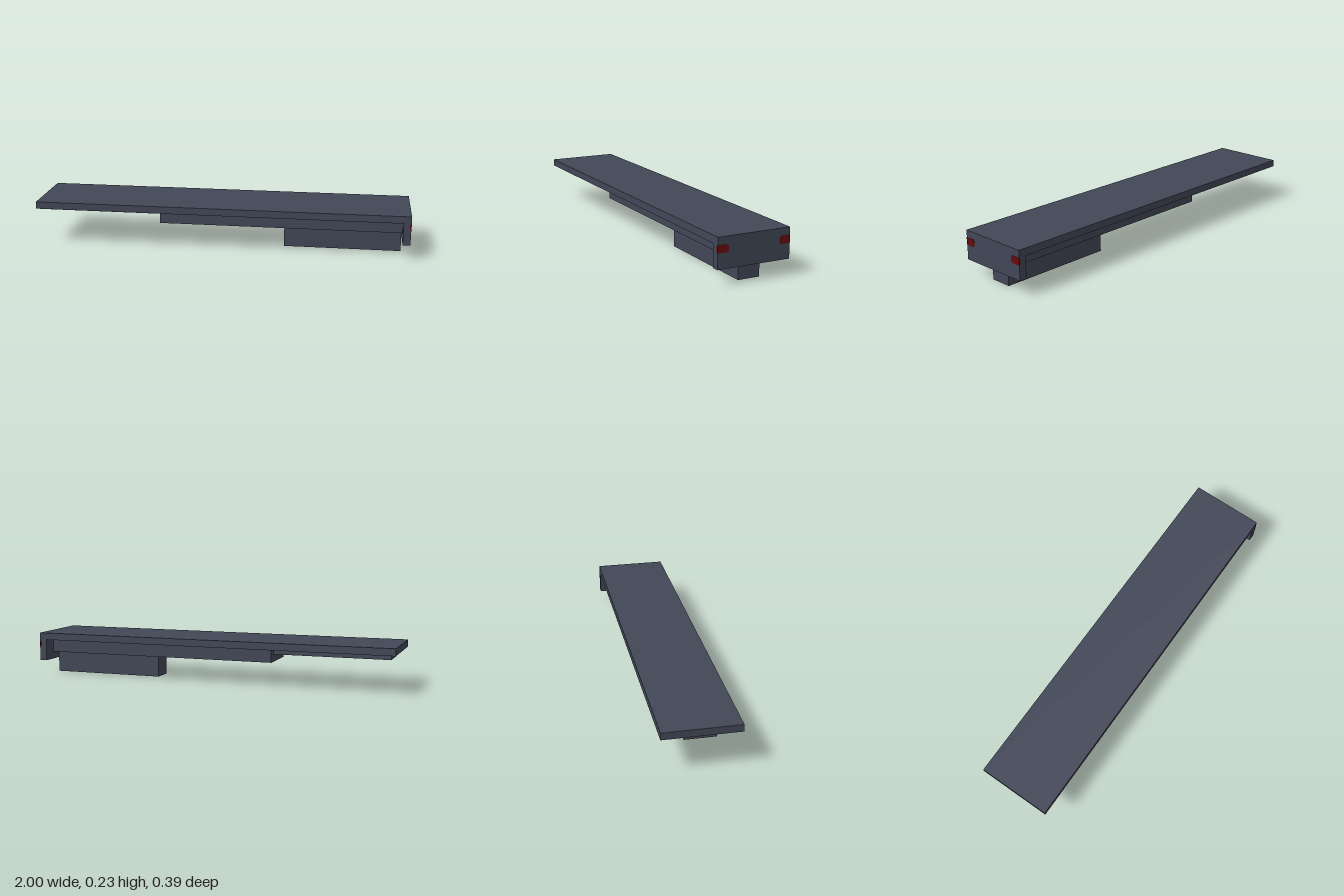
import * as THREE from 'three';

const slate = new THREE.MeshStandardMaterial({ color: 0x424757 });
slate.name = 'slate';
const darkRed = new THREE.MeshStandardMaterial({ color: 0x680b0b });
darkRed.name = 'darkRed';

// Box given by its limits in x and y and its half depth in z
function block(name, x0, x1, y0, y1, halfZ) {
  const mesh = new THREE.Mesh(new THREE.BoxGeometry(x1 - x0, y1 - y0, halfZ * 2), slate);
  mesh.name = name;
  mesh.position.set((x0 + x1) / 2, (y0 + y1) / 2, 0);
  return mesh;
}

export function createModel() {
  const group = new THREE.Group();

  // Top slab and its turned-down end, one L-shaped profile
  const profile = new THREE.Shape([
    [-1, 0.235], [-1, 0.197], [0.96, 0.197], [0.96, 0.08], [1, 0.08], [1, 0.235],
  ].map(([x, y]) => new THREE.Vector2(x, y)));
  const slab = new THREE.Mesh(
    new THREE.ExtrudeGeometry(profile, { depth: 0.392, bevelEnabled: false }), slate);
  slab.name = 'topSlab';
  slab.position.z = -0.196;
  group.add(slab);

  // Stepped beams underneath
  group.add(block('longRib', -0.96, 0.96, 0.16, 0.197, 0.079));
  group.add(block('middleBeam', -0.335, 0.96, 0.12, 0.197, 0.117));
  group.add(block('lowerBlock', 0.335, 0.958, 0, 0.12, 0.058));

  // Red end markers with a stepped inner edge, wrapping round the corners
  const marker = new THREE.Shape([
    [0.1965, 0.158], [0.145, 0.158], [0.145, 0.163], [0.138, 0.163],
    [0.138, 0.19], [0.145, 0.19], [0.145, 0.197], [0.1965, 0.197],
  ].map(([z, y]) => new THREE.Vector2(-z, y)));
  const markerGeometry = new THREE.ExtrudeGeometry(marker, { depth: 0.002, bevelEnabled: false });
  markerGeometry.rotateY(Math.PI / 2); // shape x becomes -z
  for (const side of [1, -1]) {
    const face = new THREE.Mesh(markerGeometry, darkRed);
    face.name = side > 0 ? 'frontEndMarker' : 'backEndMarker';
    face.position.x = 0.999;
    if (side < 0) face.rotation.x = Math.PI, face.position.y = 0.355;
    group.add(face);

    const wrap = new THREE.Mesh(new THREE.BoxGeometry(0.008, 0.028, 0.002), darkRed);
    wrap.name = side > 0 ? 'frontMarkerWrap' : 'backMarkerWrap';
    wrap.position.set(0.9965, 0.177, side * 0.196);
    group.add(wrap);
  }
  return group;
}
